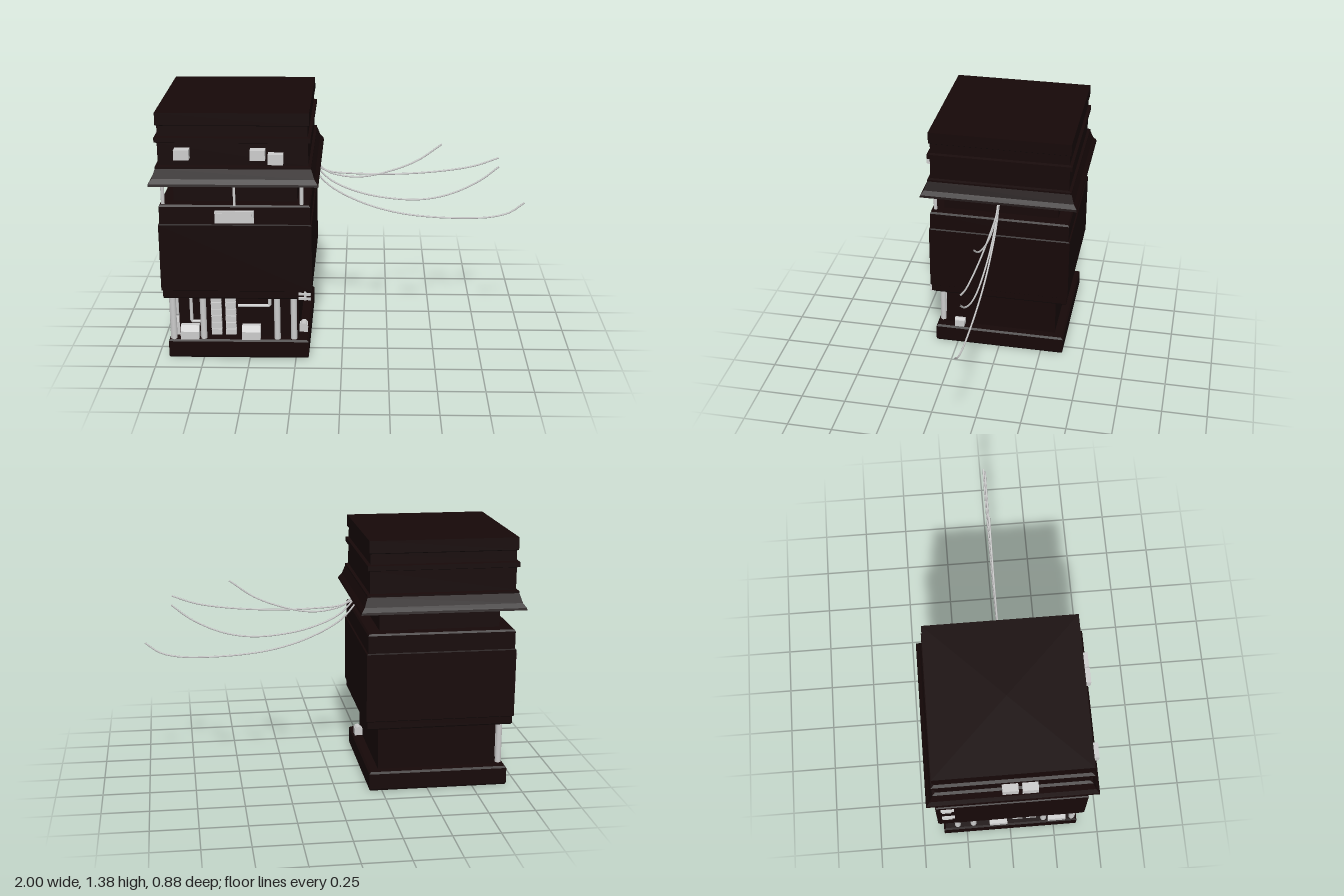
import * as THREE from 'three';

const CX = -0.56; // tower axis
const grey = new THREE.MeshStandardMaterial({ color: 0xcccccc });
const greyFlat = new THREE.MeshStandardMaterial({ color: 0xcccccc, flatShading: true });
const dark = new THREE.MeshStandardMaterial({ color: 0x160808, flatShading: true, side: THREE.DoubleSide });

function add(parent, name, geometry, material = grey) {
  const mesh = new THREE.Mesh(geometry, material);
  mesh.name = name;
  parent.add(mesh);
  return mesh;
}

function box(parent, name, w, h, d, x, y, z) {
  return add(parent, name, new THREE.BoxGeometry(w, h, d).translate(x, y, z));
}

function column(parent, name, r, y0, y1, x, z) {
  return add(parent, name, new THREE.CylinderGeometry(r, r, y1 - y0, 12).translate(x, (y0 + y1) / 2, z));
}

function pipe(parent, name, pts, r) {
  const path = new THREE.CurvePath();
  for (let i = 1; i < pts.length; i++) path.add(new THREE.LineCurve3(pts[i - 1], pts[i]));
  return add(parent, name, new THREE.TubeGeometry(path, 24, r, 8));
}

// Square tower shell: half-widths and heights swept round four sides
function towerShell() {
  const profile = [
    [0.31, 0.0], [0.375, 0.0], [0.38, 0.01], [0.38, 0.095], [0.37, 0.105], // plinth
    [0.325, 0.105], [0.325, 0.355],                                        // lower shaft
    [0.39, 0.355], [0.395, 0.362], [0.395, 0.40], [0.402, 0.405],          // middle block
    [0.402, 0.775], [0.395, 0.78], [0.395, 0.875], [0.388, 0.885],
    [0.325, 0.885], [0.325, 1.08],                                         // upper shaft
    [0.395, 1.08], [0.43, 1.0], [0.44, 1.0], [0.437, 1.012],               // flared skirt
    [0.42, 1.035], [0.403, 1.085], [0.403, 1.095], [0.388, 1.1],
    [0.388, 1.22], [0.402, 1.225], [0.402, 1.25], [0.386, 1.255],          // bands
    [0.386, 1.31], [0.394, 1.315], [0.394, 1.38], [0, 1.38],               // cap
  ].map(([r, y]) => new THREE.Vector2(r * Math.SQRT2, y));
  return new THREE.LatheGeometry(profile, 4, Math.PI / 4).translate(CX, 0, 0);
}

// Vent box with a sloping front top edge
function ventBox(parent, x, w) {
  const s = new THREE.Shape();
  s.moveTo(0.30, 0.105);
  s.lineTo(0.375, 0.105);
  s.lineTo(0.375, 0.15);
  s.lineTo(0.355, 0.18);
  s.lineTo(0.30, 0.18);
  const g = new THREE.ExtrudeGeometry(s, { depth: w, bevelEnabled: false });
  g.rotateY(-Math.PI / 2).translate(x + w / 2, 0, 0);
  add(parent, 'ventBox', g, greyFlat);
}

// Pipes, ducts and vents of one lower face, facing +z about the tower axis
function services() {
  const g = new THREE.Group();
  g.name = 'servicePipes';
  for (const x of [-0.355, -0.19, 0.21, 0.30]) column(g, 'column', 0.017, 0.1, 0.36, x, 0.352);
  for (const x of [-0.12, -0.042]) {
    box(g, 'duct', 0.046, 0.235, 0.03, x, 0.237, 0.328);
    for (let i = 0; i < 6; i++) box(g, 'ductSegment', 0.056, 0.032, 0.035, x, 0.14 + i * 0.039, 0.335);
  }
  const V = (x, y) => new THREE.Vector3(x, y, 0.345);
  pipe(g, 'drainPipe', [V(-0.255, 0.36), V(-0.255, 0.2), V(-0.2, 0.2)], 0.009);
  pipe(g, 'elbowPipe', [V(0, 0.295), V(0.17, 0.295), V(0.17, 0.36)], 0.009);
  ventBox(g, -0.265, 0.1);
  ventBox(g, 0.068, 0.1);
  return g;
}

function wire(parent, pts) {
  const curve = new THREE.CatmullRomCurve3(pts.map(([x, y]) => new THREE.Vector3(x, y, 0)));
  add(parent, 'wire', new THREE.TubeGeometry(curve, 40, 0.005, 6));
}

export function createModel() {
  const model = new THREE.Group();
  model.name = 'tower';
  add(model, 'towerShell', towerShell(), dark);

  // Services on the front, and the same set swung round to the right side
  const front = services();
  front.position.x = CX;
  model.add(front);
  const side = services();
  side.name = 'sideServicePipes';
  side.scale.x = -1;
  side.rotation.y = -Math.PI / 2;
  side.position.x = CX;
  model.add(side);

  // Posts under the skirt and the hanging sign board
  for (const x of [-0.935, -0.21]) column(model, 'skirtPost', 0.01, 0.88, 1.04, x, 0.372);
  box(model, 'signHanger', 0.012, 0.16, 0.012, CX, 0.93, 0.385);
  box(model, 'signBoard', 0.205, 0.065, 0.03, CX, 0.825, 0.4);
  box(model, 'signPanel', 0.18, 0.042, 0.006, CX, 0.825, 0.415);

  // Air conditioners around the top storey
  const units = [[-0.82, 1.168], [-0.43, 1.168], [-0.338, 1.146]];
  for (const [x, y] of units) box(model, 'airConditioner', 0.078, 0.054, 0.07, x, y, 0.403);
  for (const [z, y] of [[-0.015, 1.18], [0.085, 1.17]])
    box(model, 'sideAirConditioner', 0.07, 0.06, 0.08, -0.963, y, z);

  // Small wall brackets
  for (const y of [0.57, 0.73]) {
    box(model, 'wallBracket', 0.02, 0.012, 0.07, -0.965, y + 0.012, -0.34);
    box(model, 'wallBracket', 0.02, 0.012, 0.05, -0.965, y - 0.012, -0.345);
    box(model, 'bracketStem', 0.012, 0.036, 0.012, -0.965, y, -0.335);
  }
  for (const y of [0.362, 0.388]) box(model, 'cornerBracket', 0.065, 0.012, 0.022, -0.198, y, 0.396);
  box(model, 'cornerBracketStem', 0.012, 0.05, 0.02, -0.195, 0.375, 0.39);

  // Meter box on the left side, with its rounded cover
  box(model, 'meterBox', 0.06, 0.04, 0.055, -0.22, 0.125, 0.24);
  add(model, 'meterCover', new THREE.CylinderGeometry(0.02, 0.02, 0.06, 10)
    .rotateX(Math.PI / 2).translate(-0.212, 0.137, 0.24));

  // Loose wires sweeping out from the skirt
  const wires = new THREE.Group();
  wires.name = 'wires';
  model.add(wires);
  wire(wires, [[-0.19, 1.06], [-0.15, 1.01], [-0.09, 0.95], [0.02, 0.92], [0.12, 0.92], [0.25, 0.95], [0.4, 1.01], [0.535, 1.105]]);
  wire(wires, [[-0.19, 1.03], [-0.15, 0.985], [-0.08, 0.95], [0.05, 0.937], [0.3, 0.935], [0.55, 0.955], [0.72, 0.985], [0.845, 1.03]]);
  wire(wires, [[-0.18, 1.02], [-0.07, 0.9], [0.1, 0.825], [0.3, 0.79], [0.45, 0.79], [0.6, 0.825], [0.75, 0.9], [0.85, 0.98]]);
  wire(wires, [[-0.19, 1.0], [-0.08, 0.87], [0.1, 0.77], [0.3, 0.71], [0.5, 0.685], [0.7, 0.68], [0.82, 0.688], [0.92, 0.715], [0.998, 0.772]]);
  return model;
}
